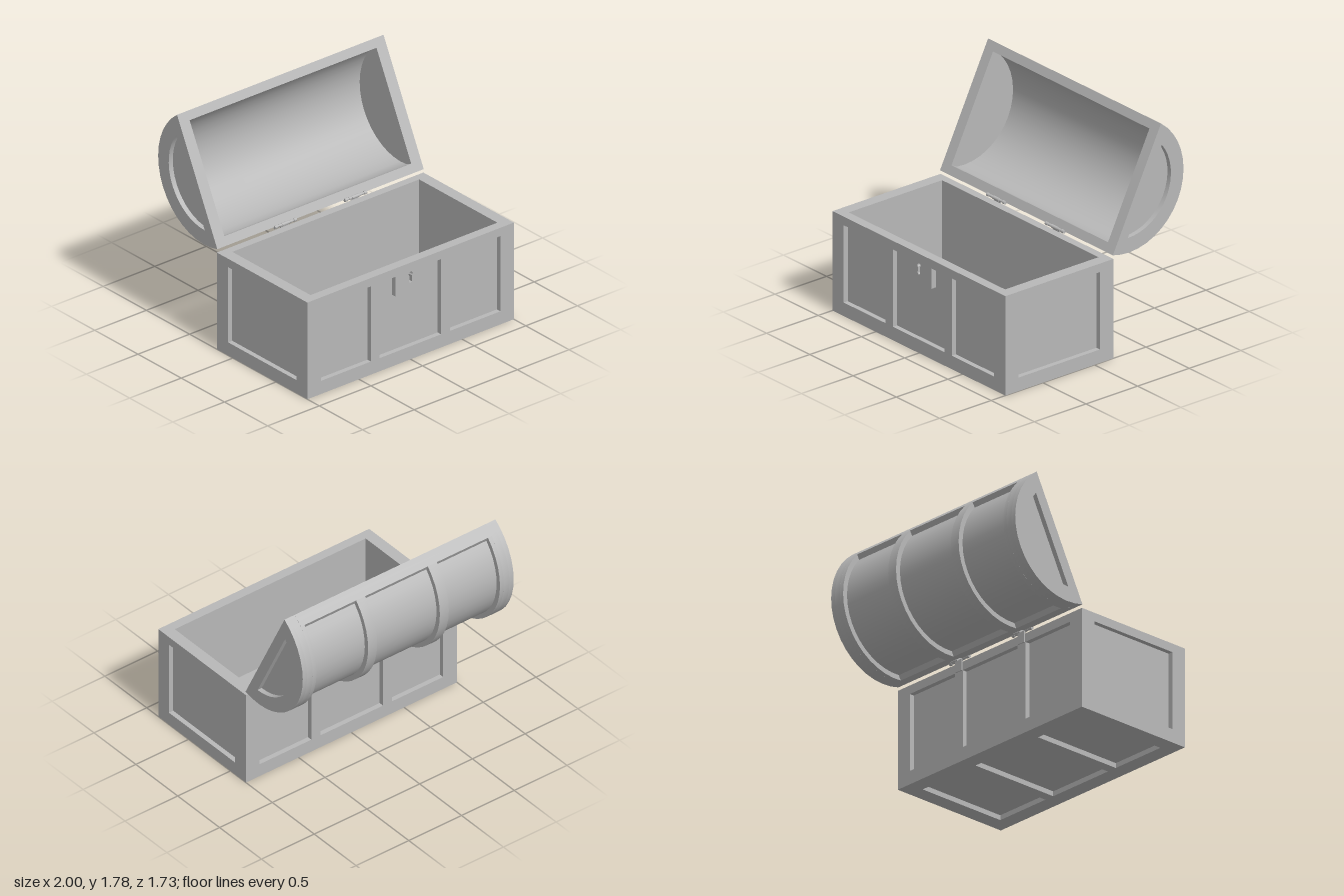
import * as THREE from 'three';
import { toCreasedNormals } from 'three/addons/utils/BufferGeometryUtils.js';

const grey = new THREE.MeshStandardMaterial({ color: 0xb8b8b8 });
grey.name = 'plain grey';

// Overall chest body limits
const H = 0.81, BACK = -0.185, FRONT = 0.862, RECESS = 0.04;
// Panel openings across the width, and the bands left between them
const PANELS = [[-0.87, -0.385], [-0.3, 0.295], [0.38, 0.87]];
const BANDS = [[-0.905, -0.87], [-0.385, -0.3], [0.295, 0.38], [0.87, 0.905]];
const Y0 = 0.11, Y1 = 0.74, Z0 = -0.055, Z1 = 0.735;
const HINGES = [-0.345, 0.335];

const poly = pts => pts.map(([x, y]) => new THREE.Vector2(x, y));
const rect = (x0, y0, x1, y1) => poly([[x0, y0], [x1, y0], [x1, y1], [x0, y1]]);

function slab(outline, holes, depth) {
  const shape = new THREE.Shape(outline);
  holes.forEach(h => shape.holes.push(new THREE.Path(h)));
  return new THREE.ExtrudeGeometry(shape, { depth, bevelEnabled: false });
}

function add(parent, name, geometry) {
  const mesh = new THREE.Mesh(geometry, grey);
  mesh.name = name;
  parent.add(mesh);
  return mesh;
}

function makeBody() {
  const body = new THREE.Group();
  body.name = 'chestBody';
  const zi0 = BACK + RECESS, zi1 = FRONT - RECESS, xi = 1 - RECESS;

  // Inner walls and floor
  add(body, 'innerWalls', slab(rect(-xi, zi0, xi, zi1), [rect(-0.905, -0.12, 0.905, 0.785)], H - RECESS)
    .rotateX(Math.PI / 2).translate(0, H, 0));
  add(body, 'floor', new THREE.BoxGeometry(1.83, 0.04, 0.92).translate(0, 0.06, 0.3325));

  // Back frame with three plain panels
  const panels = PANELS.map(([a, b]) => rect(a, Y0, b, Y1));
  add(body, 'backFrame', slab(rect(-1, 0, 1, H), panels, RECESS).translate(0, 0, BACK));

  // Front frame: the middle opening is notched around the lock plate
  const [m0, m1] = PANELS[1], lx = 0.148, ly = 0.575;
  const notched = poly([[m0, Y0], [m1, Y0], [m1, Y1], [lx, Y1], [lx, ly], [-lx, ly], [-lx, Y1], [m0, Y1]]);
  const keyhole = [];
  for (let i = 0; i <= 10; i++) {
    const t = -0.9 + (Math.PI + 1.8) * i / 10;
    keyhole.push([0.019 * Math.cos(t), 0.715 + 0.019 * Math.sin(t)]);
  }
  keyhole.push([-0.014, 0.648], [0, 0.64], [0.014, 0.648]);
  add(body, 'frontFrameWithLock',
    slab(rect(-1, 0, 1, H), [panels[0], notched, panels[2], poly(keyhole)], RECESS).translate(0, 0, zi1));

  // Side frames
  for (const [name, x] of [['leftFrame', 1], ['rightFrame', -xi]]) {
    add(body, name, slab(rect(zi0, 0, zi1, H), [rect(Z0, Y0, Z1, Y1)], RECESS)
      .rotateY(-Math.PI / 2).translate(x, 0, 0));
  }

  // Bottom frame
  add(body, 'bottomFrame', slab(rect(-xi, zi0, xi, zi1), PANELS.map(([a, b]) => rect(a, Z0, b, Z1)), RECESS)
    .rotateX(Math.PI / 2).translate(0, RECESS, 0));
  return body;
}

// Lid profile arcs share a centre a little in front of the rim plane
const CENTRE = -0.09, OUTER = 0.532, SUNK = 0.492, INNER = 0.476, STEP = 0.0965;

function arc(r, from, to, n) {
  const pts = [];
  for (let i = 0; i <= n; i++) {
    const t = from + (to - from) * i / n;
    pts.push([r * Math.cos(t), CENTRE + r * Math.sin(t)]);
  }
  return pts;
}
const angleAt = (r, height) => Math.asin((height - CENTRE) / r);
function bow(r, height, n = 16) {
  const t = angleAt(r, height);
  return arc(r, t, Math.PI - t, n);
}

function makeLid() {
  const lid = new THREE.Group();
  lid.name = 'lid';
  const part = (name, outline, holes, x0, x1) =>
    add(lid, name, toCreasedNormals(slab(poly(outline), holes.map(poly), x1 - x0).translate(0, 0, -x1), 0.5));

  // Barrel: full rims along both long edges, sunk panels between, hollow inside
  const t0 = angleAt(OUTER, 0), t1 = angleAt(OUTER, STEP);
  const barrel = [
    ...arc(OUTER, t0, t1, 2), ...bow(SUNK, STEP), ...arc(OUTER, Math.PI - t1, Math.PI - t0, 2),
    [-0.452, 0], ...bow(INNER, 0.06).reverse(), [0.452, 0],
  ];
  part('lidBarrel', barrel, [], -0.905, 0.905);

  // Raised bands over the barrel
  const band = [...bow(OUTER, STEP), ...bow(SUNK - 0.006, STEP).reverse()];
  BANDS.forEach(([a, b]) => part('lidBand', band, [], a, b));

  // Solid ends, each with a framed half-round panel
  const end = bow(OUTER, 0, 18), opening = bow(0.41, 0.085);
  for (const [inner, frame] of [[[0.905, 0.96], [0.96, 1]], [[-0.96, -0.905], [-1, -0.96]]]) {
    part('lidEnd', end, [], ...inner);
    part('lidEndFrame', end, [opening], ...frame);
  }

  // Hinge leaves on the lid
  HINGES.forEach(x => add(lid, 'lidHingeLeaf',
    new THREE.BoxGeometry(0.01, 0.07, 0.07).rotateZ(0.2).translate(-0.522, 0.035, -x)));

  // Swing the lid open: local x runs up the rim, local y out through the dome
  const u = new THREE.Vector3(0, 0.896, -0.444).normalize();
  const n = new THREE.Vector3(0, u.z, -u.y);
  lid.quaternion.setFromRotationMatrix(new THREE.Matrix4().makeBasis(u, n, new THREE.Vector3(-1, 0, 0)));
  lid.position.set(0, 1.31, -0.4125);
  return lid;
}

function makeHinge(x) {
  const hinge = new THREE.Group();
  hinge.name = 'hinge';
  const barrel = (name, r, length, offset) =>
    add(hinge, name, new THREE.CylinderGeometry(r, r, length, 16).rotateZ(Math.PI / 2).translate(offset, 0.838, -0.177));
  barrel('hingePin', 0.009, 0.2, 0);
  barrel('hingeKnuckle', 0.014, 0.07, 0);
  [-1, 1].forEach(s => barrel('hingeKnob', 0.014, 0.025, s * 0.0925));
  [-1, 1].forEach(s => barrel('hingeSleeve', 0.011, 0.03, s * 0.05));
  add(hinge, 'bodyHingeLeaf', new THREE.BoxGeometry(0.07, 0.095, 0.01).translate(0, 0.7875, -0.188));
  hinge.position.x = x;
  return hinge;
}

export function createModel() {
  const chest = new THREE.Group();
  chest.name = 'openChest';
  chest.add(makeBody(), makeLid(), ...HINGES.map(makeHinge));
  return chest;
}
